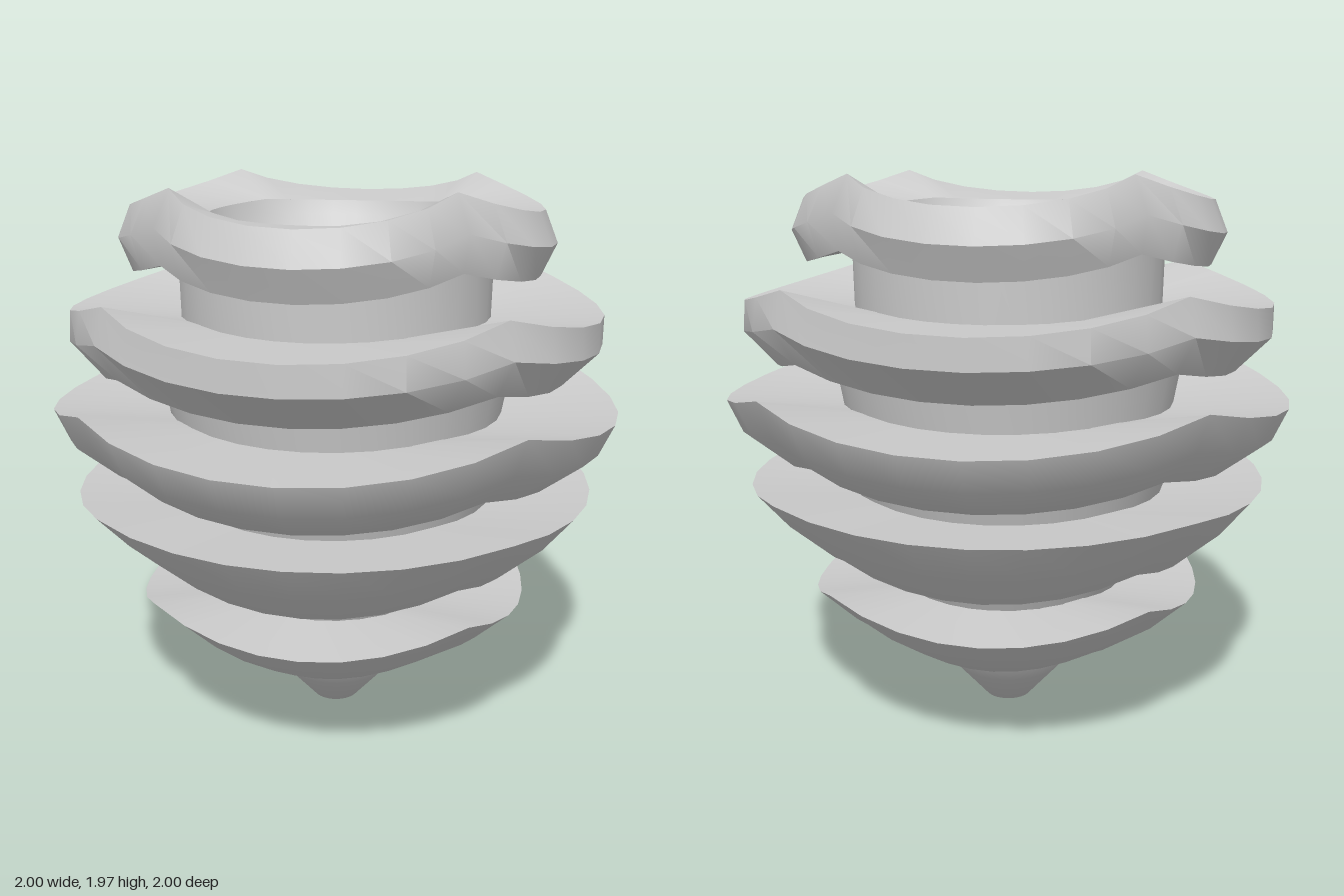
import * as THREE from 'three';
import { toCreasedNormals } from 'three/addons/utils/BufferGeometryUtils.js';

const SEGMENTS = 32;
const CREASE = 0.75;
const material = new THREE.MeshStandardMaterial({ color: 0xcccccc, side: THREE.DoubleSide });

// Sweep a profile round the y axis; each point blends from its valley
// position [r, y] (on the axes) to its peak position (on the diagonals).
function wavySweep(valley, peak) {
  const positions = [], index = [];
  const rows = valley.length;
  for (let i = 0; i <= SEGMENTS; i++) {
    const angle = (i / SEGMENTS) * Math.PI * 2;
    const quarter = (i / SEGMENTS) * 4;
    const t = Math.abs(quarter - Math.round(quarter)) * 2;
    const wave = t * t;
    for (let j = 0; j < rows; j++) {
      const r = THREE.MathUtils.lerp(valley[j][0], peak[j][0], wave);
      const y = THREE.MathUtils.lerp(valley[j][1], peak[j][1], wave);
      positions.push(r * Math.sin(angle), y, r * Math.cos(angle));
      if (i < SEGMENTS && j < rows - 1) {
        const a = i * rows + j, b = a + rows;
        index.push(a, b, a + 1, b, b + 1, a + 1);
      }
    }
  }
  const geometry = new THREE.BufferGeometry();
  geometry.setAttribute('position', new THREE.Float32BufferAttribute(positions, 3));
  geometry.setIndex(index);
  return toCreasedNormals(geometry, CREASE);
}

function lathe(points) {
  const profile = points.map(([r, y]) => new THREE.Vector2(r, y));
  return toCreasedNormals(new THREE.LatheGeometry(profile, SEGMENTS), CREASE);
}

export function createModel() {
  const group = new THREE.Group();
  const add = (name, geometry) => {
    const mesh = new THREE.Mesh(geometry, material);
    mesh.name = name;
    group.add(mesh);
  };

  // Wavy rings: inner underside, lower edge, middle, upper edge, inner top
  const rings = [
    { name: 'topRing',
      valley: [[0.53, 1.73], [0.71, 1.66], [0.76, 1.77], [0.715, 1.88], [0.44, 1.86]],
      peak: [[0.53, 1.74], [0.68, 1.73], [0.70, 1.85], [0.64, 1.97], [0.46, 1.87]] },
    { name: 'upperRing',
      valley: [[0.61, 1.39], [0.81, 1.31], [0.93, 1.43], [0.93, 1.53], [0.53, 1.51]],
      peak: [[0.61, 1.40], [0.85, 1.38], [0.92, 1.50], [0.89, 1.62], [0.53, 1.52]] },
    { name: 'middleRing',
      valley: [[0.61, 1.04], [0.80, 0.97], [0.95, 1.08], [1.0, 1.19], [0.58, 1.17]],
      peak: [[0.61, 1.05], [0.81, 1.03], [0.94, 1.15], [0.99, 1.28], [0.58, 1.18]] },
    { name: 'lowerRing',
      valley: [[0.51, 0.72], [0.65, 0.62], [0.82, 0.77], [0.92, 0.90], [0.55, 0.86]],
      peak: [[0.51, 0.72], [0.70, 0.69], [0.84, 0.81], [0.95, 0.93], [0.55, 0.87]] },
    { name: 'bottomRing',
      valley: [[0.33, 0.36], [0.40, 0.27], [0.57, 0.37], [0.70, 0.49], [0.40, 0.51]],
      peak: [[0.33, 0.37], [0.49, 0.34], [0.63, 0.45], [0.76, 0.58], [0.40, 0.52]] },
  ];
  rings.forEach(({ name, valley, peak }) => add(name, wavySweep(valley, peak)));

  // Core sections showing in the grooves
  add('topCore', lathe([[0.545, 1.48], [0.55, 1.76]]));
  add('upperCore', lathe([[0.59, 1.14], [0.64, 1.42]]));
  add('middleCore', lathe([[0.56, 0.84], [0.635, 1.07]]));
  add('lowerCore', lathe([[0.41, 0.48], [0.54, 0.74]]));

  // Pointed foot with a small dimple
  add('foot', lathe([[0, 0.06], [0.03, 0.03], [0.05, 0], [0.085, 0.015], [0.2, 0.145], [0.37, 0.345], [0.37, 0.4]]));

  // Rounded bowl in the top, its rim matching the top ring's inner edge
  const bowl = [[0.44, 1.86], [0.42, 1.81], [0.37, 1.73], [0.28, 1.65], [0.15, 1.59], [0, 1.57]];
  add('bowl', wavySweep(bowl, bowl.map(([r, y]) => [r * 1.045, y + (r > 0.43 ? 0.01 : 0)])));

  return group;
}
